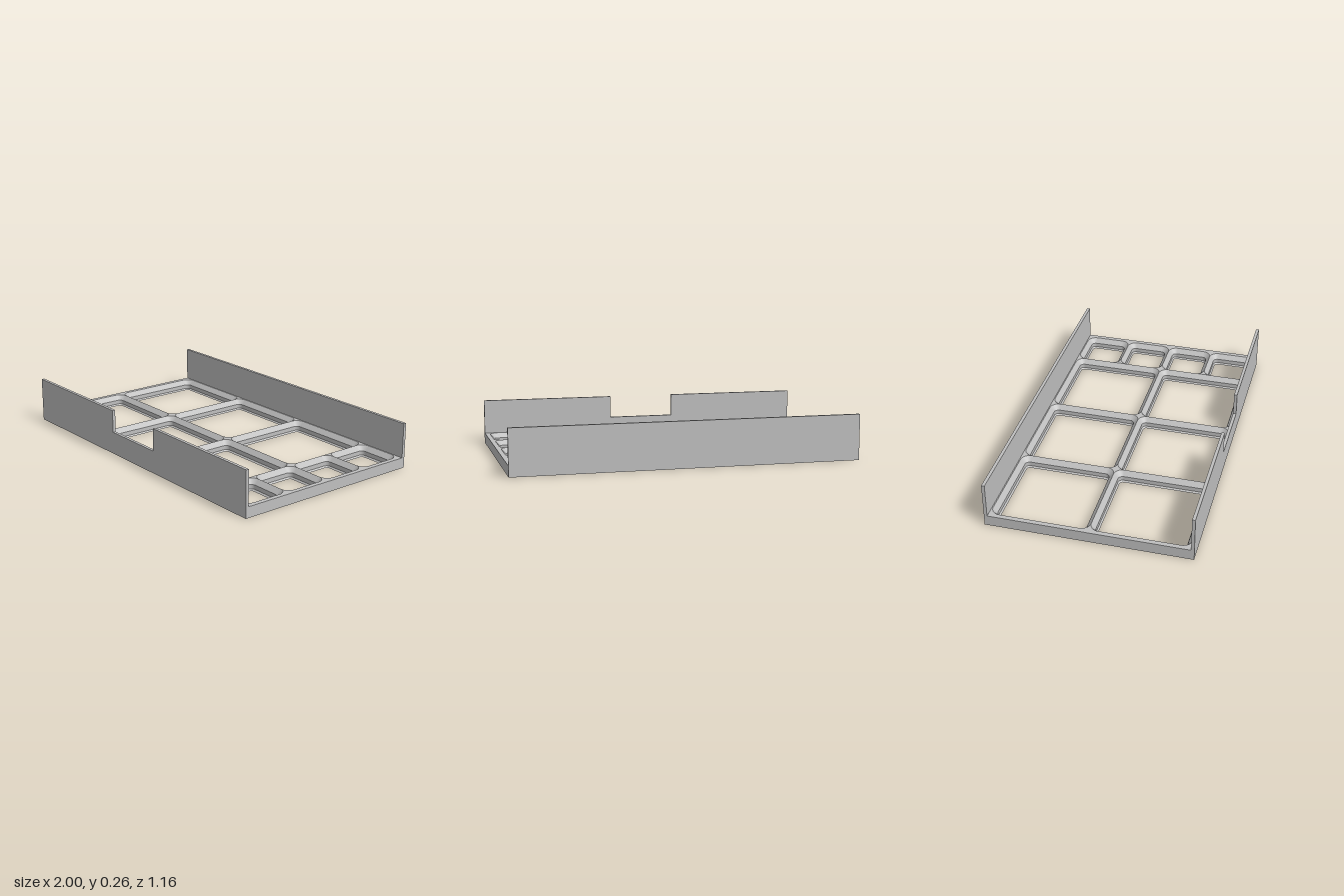
import * as THREE from 'three';
import { mergeGeometries } from 'three/addons/utils/BufferGeometryUtils.js';

const PITCH = 0.556, BASE_H = 0.062, WALL_H = 0.265, WALL_T = 0.018;
const HALF_Z = 0.58, RADIUS = 0.053, SEG = 8;
// Socket profile from the bottom up: [inset, height]
const PROFILE = [[0.035, 0], [0.026, 0.009], [0.026, 0.034], [0, BASE_H]];

// Rounded rectangle as points [x, z], anticlockwise from +x to +z
function roundedLoop(hw, hd, r) {
  const pts = [];
  for (let q = 0; q < 4; q++) {
    const sx = q === 0 || q === 3 ? 1 : -1, sz = q < 2 ? 1 : -1;
    for (let i = 0; i <= SEG; i++) {
      const a = (q + i / SEG) * Math.PI / 2;
      pts.push(new THREE.Vector2(sx * (hw - r) + r * Math.cos(a), sz * (hd - r) + r * Math.sin(a)));
    }
  }
  return pts;
}

const insetLoop = (w, d, inset) => roundedLoop(w / 2 - inset, d / 2 - inset, RADIUS - inset);

function rectangle(hw, hd) {
  return new THREE.Shape([[-hw, -hd], [hw, -hd], [hw, hd], [-hw, hd]].map(p => new THREE.Vector2(...p)));
}

// One band of the socket wall, facing inward
function band(w, d, [i0, y0], [i1, y1]) {
  const lower = insetLoop(w, d, i0), upper = insetLoop(w, d, i1), n = lower.length;
  const pos = [], index = [];
  lower.forEach(p => pos.push(p.x, y0, p.y));
  upper.forEach(p => pos.push(p.x, y1, p.y));
  for (let j = 0; j < n; j++) {
    const k = (j + 1) % n;
    index.push(j, k, n + j, k, n + k, n + j);
  }
  const g = new THREE.BufferGeometry();
  g.setAttribute('position', new THREE.Float32BufferAttribute(pos, 3));
  g.setIndex(index);
  g.computeVertexNormals();
  return g;
}

// Open socket: sloped walls, flat top corners and flat underside
function socketGeometry(w, d) {
  const parts = [];
  for (let i = 0; i < PROFILE.length - 1; i++) parts.push(band(w, d, PROFILE[i], PROFILE[i + 1]));
  for (let q = 0; q < 4; q++) {
    const sx = q === 0 || q === 3 ? 1 : -1, sy = q < 2 ? 1 : -1;
    const corner = new THREE.Shape();
    corner.moveTo(sx * w / 2, sy * d / 2);
    const arc = insetLoop(w, d, 0).slice(q * (SEG + 1), (q + 1) * (SEG + 1));
    arc.forEach(p => corner.lineTo(p.x, p.y));
    parts.push(new THREE.ShapeGeometry(corner).rotateX(-Math.PI / 2).translate(0, BASE_H, 0));
  }
  const under = rectangle(w / 2, d / 2);
  under.holes.push(new THREE.Path(insetLoop(w, d, PROFILE[0][0])));
  parts.push(new THREE.ShapeGeometry(under).rotateX(Math.PI / 2));
  parts.forEach(p => p.deleteAttribute('uv'));
  return mergeGeometries(parts);
}

export function createModel() {
  const group = new THREE.Group();
  const grey = new THREE.MeshStandardMaterial({ color: 0xbfbfbf });
  grey.name = 'light grey';

  function add(name, geometry, x = 0, y = 0, z = 0) {
    const mesh = new THREE.Mesh(geometry, grey);
    mesh.name = name;
    mesh.position.set(x, y, z);
    group.add(mesh);
  }

  // Thin rim around the grid
  const gridHalfX = PITCH * 1.75;
  const rim = rectangle(1, HALF_Z - WALL_T);
  rim.holes.push(new THREE.Path(rectangle(gridHalfX, PITCH).getPoints()));
  add('baseRim', new THREE.ExtrudeGeometry(rim, { depth: BASE_H, bevelEnabled: false }).rotateX(-Math.PI / 2));

  // Three columns of large sockets and one of small ones
  const large = socketGeometry(PITCH, PITCH), small = socketGeometry(PITCH / 2, PITCH / 2);
  for (let col = 0; col < 3; col++) {
    for (const side of [-1, 1]) {
      add('largeSocket', large, -gridHalfX + PITCH * (col + 0.5), 0, side * PITCH / 2);
    }
  }
  for (let row = 0; row < 4; row++) {
    add('smallSocket', small, gridHalfX - PITCH / 4, 0, PITCH * (row / 2 - 0.75));
  }

  // Plain back wall and front wall with a finger notch
  add('backWall', new THREE.BoxGeometry(2, WALL_H, WALL_T), 0, WALL_H / 2, -HALF_Z + WALL_T / 2);
  const outline = [[-1, 0], [1, 0], [1, WALL_H], [0.2, WALL_H], [0.2, WALL_H / 2],
    [-0.2, WALL_H / 2], [-0.2, WALL_H], [-1, WALL_H]];
  const front = new THREE.Shape(outline.map(p => new THREE.Vector2(...p)));
  add('frontWall', new THREE.ExtrudeGeometry(front, { depth: WALL_T, bevelEnabled: false }), 0, 0, HALF_Z - WALL_T);

  return group;
}
